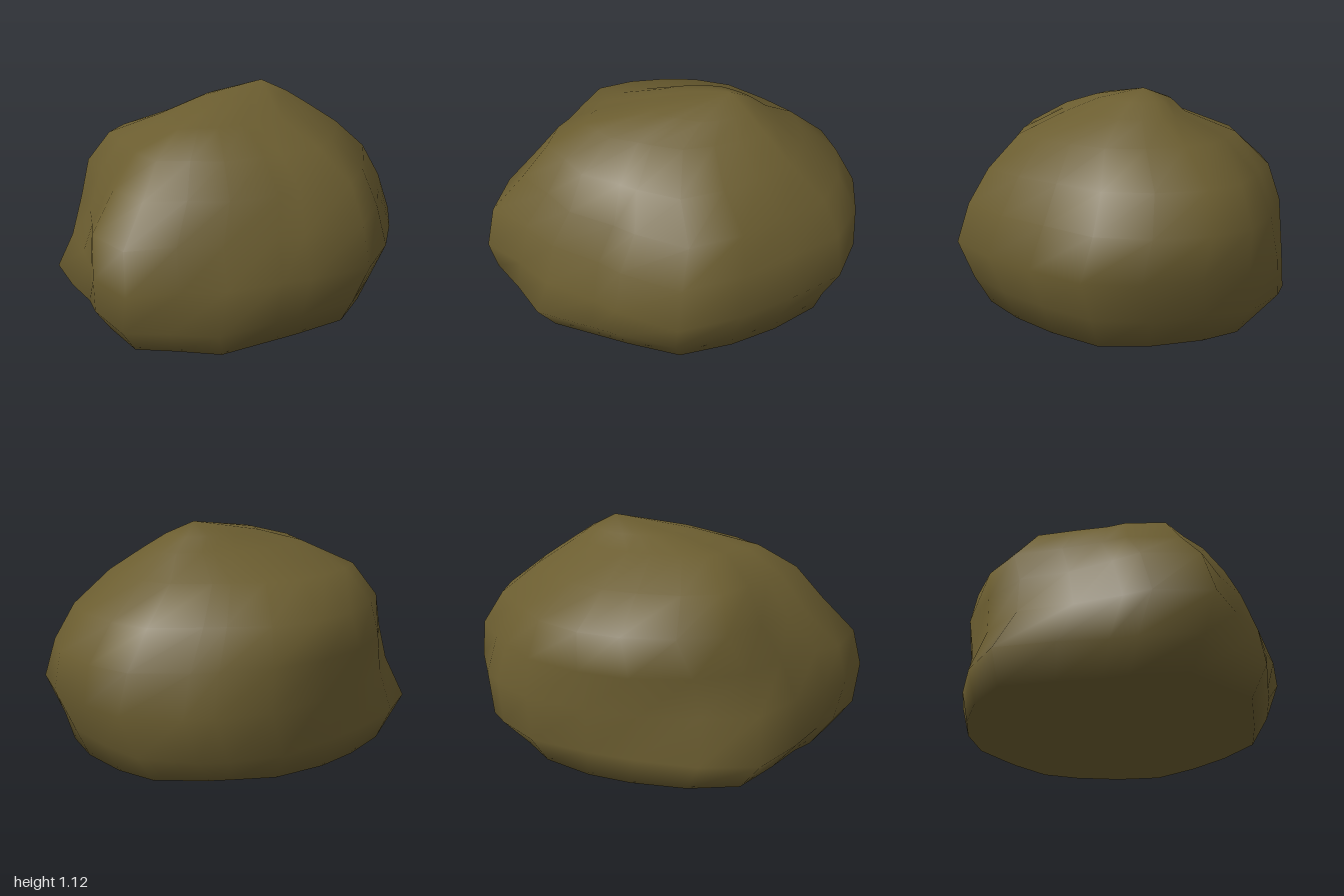
import * as THREE from 'three';

// Plan outline, counter-clockwise from the front point, as [x, z]
const OUTLINE = [
  [0.03, 0.84], [0.34, 0.74], [0.6, 0.6], [0.86, 0.43], [0.97, 0.18], [1, -0.1], [1, -0.34],
  [0.84, -0.59], [0.73, -0.68], [0.49, -0.81], [0.16, -0.84], [-0.1, -0.84], [-0.41, -0.8],
  [-0.68, -0.69], [-0.8, -0.42], [-0.88, -0.2], [-0.95, -0.08], [-1, 0.2], [-0.82, 0.36],
  [-0.67, 0.53], [-0.4, 0.65], [-0.28, 0.72],
];

// Cross-sections: height, x min, x max, front z, back z,
// then the fullness of the corners: front +x, back +x, back -x, front -x
const RINGS = [
  [0, -0.84, 0.87, 0.68, -0.81, 1.04, 0.89, 1.0, 1.12],
  [0.14, -0.95, 0.93, 0.76, -0.84, 1.0, 0.99, 1.03, 1.1],
  [0.34, -1, 1, 0.84, -0.81, 1.0, 0.98, 0.93, 0.95],
  [0.54, -0.96, 1, 0.78, -0.84, 0.96, 0.9, 0.87, 0.94],
  [0.72, -0.78, 0.89, 0.68, -0.81, 0.97, 0.85, 0.94, 1.0],
  [0.88, -0.64, 0.68, 0.51, -0.64, 1.0, 0.87, 0.98, 1.05],
  [0.99, -0.45, 0.52, 0.26, -0.35, 1.03, 0.86, 0.97, 1.05],
  [1.06, -0.14, 0.41, 0.12, -0.25, 1.05, 0.9, 0.95, 1.06],
];
const APEX = [0.29, 1.12, -0.07];

function boulderGeometry() {
  const positions = [];
  const index = [];
  const n = OUTLINE.length;

  // Fit the outline to each section, pushing its four corners in or out
  for (const [y, x0, x1, zFront, zBack, ...corners] of RINGS) {
    for (const [u, z] of OUTLINE) {
      const v = z / 0.84;
      const corner = u > 0 ? (v > 0 ? 0 : 1) : (v > 0 ? 3 : 2);
      const diagonal = (2 * u * v) / (u * u + v * v);
      const k = THREE.MathUtils.lerp(1, corners[corner], diagonal ** 2);
      positions.push(
        (x0 + x1) / 2 + (u * k * (x1 - x0)) / 2,
        y,
        (zFront + zBack) / 2 + (v * k * (zFront - zBack)) / 2,
      );
    }
  }
  const top = RINGS.length * n;
  const bottom = top + 1;
  positions.push(...APEX, 0, 0, -0.05);

  for (let j = 0; j < n; j++) {
    const next = (j + 1) % n;
    for (let i = 0; i < RINGS.length - 1; i++) {
      const a = i * n + j, b = i * n + next;
      index.push(a, b, b + n, a, b + n, a + n);
    }
    index.push(top - n + j, top - n + next, top); // cap
    index.push(bottom, next, j); // flat base
  }

  const geometry = new THREE.BufferGeometry();
  geometry.setAttribute('position', new THREE.Float32BufferAttribute(positions, 3));
  geometry.setIndex(index);
  geometry.computeVertexNormals();
  return geometry;
}

export function createModel() {
  const group = new THREE.Group();
  group.name = 'rock';
  const stone = new THREE.MeshStandardMaterial({ color: 0x6b5d30 });
  stone.name = 'mossy brown stone';
  const boulder = new THREE.Mesh(boulderGeometry(), stone);
  boulder.name = 'boulder';
  group.add(boulder);
  return group;
}
